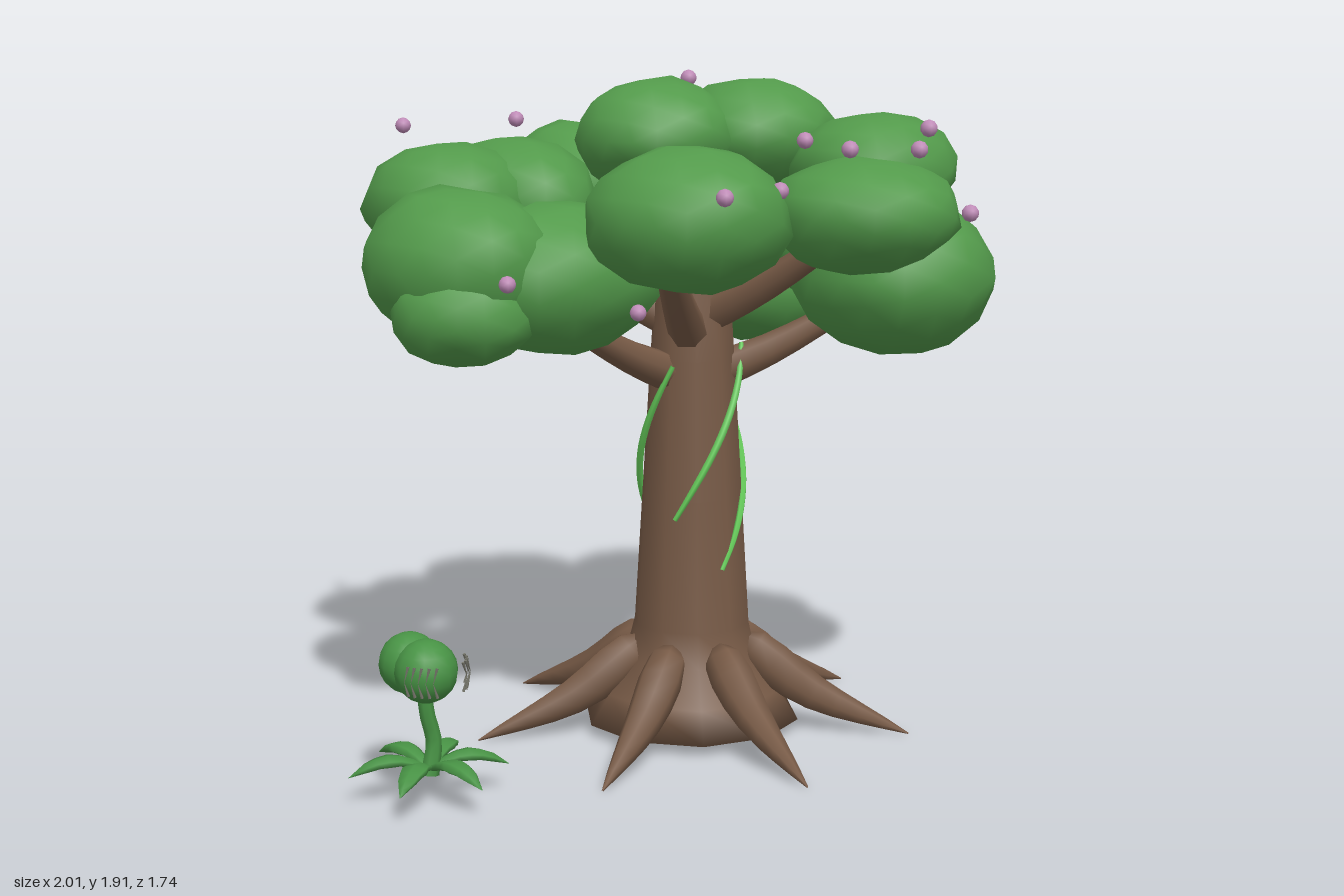
import * as THREE from 'three';
import { mergeVertices } from 'three/addons/utils/BufferGeometryUtils.js';

const mat = (name, color) => {
  const m = new THREE.MeshStandardMaterial({ color });
  m.name = name;
  return m;
};
const V = (x, y, z) => new THREE.Vector3(x, y, z);

// Weld the vertices and recompute smooth normals
function smooth(geo) {
  geo.deleteAttribute('uv');
  geo.deleteAttribute('normal');
  const g = mergeVertices(geo, 1e-5);
  g.computeVertexNormals();
  return g;
}

// Tube along a curve whose radius follows a list of values
function taper(points, radii, segments = 8, sides = 7, flat = 1) {
  const curve = new THREE.CatmullRomCurve3(points);
  const geo = new THREE.TubeGeometry(curve, segments, 1, sides, false);
  const pos = geo.attributes.position, v = V(0, 0, 0);
  for (let i = 0; i < pos.count; i++) {
    const t = Math.floor(i / (sides + 1)) / segments;
    const f = t * (radii.length - 1), k = Math.min(Math.floor(f), radii.length - 2);
    const r = THREE.MathUtils.lerp(radii[k], radii[k + 1], f - k);
    const c = curve.getPointAt(t);
    v.fromBufferAttribute(pos, i).sub(c).multiplyScalar(r);
    pos.setXYZ(i, c.x + v.x, c.y + v.y * flat, c.z + v.z);
  }
  return smooth(geo);
}

// Lumpy squashed ball for a leaf cluster, with slightly uneven corners
function lump(rx, ry, rz, seed) {
  const geo = new THREE.IcosahedronGeometry(1, 2);
  const pos = geo.attributes.position, v = V(0, 0, 0);
  for (let i = 0; i < pos.count; i++) {
    v.fromBufferAttribute(pos, i);
    const wide = Math.sin(v.x * 3.1 + seed * 2.3) + Math.sin(v.y * 3.7 + seed * 1.7) + Math.sin(v.z * 3.3 + seed * 3.1);
    const fine = Math.sin(v.x * 11 + v.y * 8 + seed) + Math.sin(v.z * 12 - v.y * 9 + seed * 2);
    v.multiplyScalar(1.02 + 0.018 * wide + 0.026 * fine);
    pos.setXYZ(i, v.x * rx, v.y * ry, v.z * rz);
  }
  return smooth(geo);
}

export function createModel() {
  const root = new THREE.Group();
  const bark = mat('bark', 0x775a46);
  const foliage = mat('foliage green', 0x539a4b);
  const vineGreen = mat('vine green', 0x68d05c);
  const blossomPink = mat('blossom mauve', 0xc08cb8);
  const plantGreen = mat('plant green', 0x489345);
  const toothGrey = mat('tooth grey', 0x77776c);

  const add = (name, geo, material, parent = root, x = 0, y = 0, z = 0) => {
    const m = new THREE.Mesh(geo, material);
    m.name = name;
    m.position.set(x, y, z);
    parent.add(m);
    return m;
  };
  const group = (name) => {
    const g = new THREE.Group();
    g.name = name;
    root.add(g);
    return g;
  };
  const CX = 0.135, CZ = 0.012;

  // Trunk with flared foot
  const profile = [[0, 0.025], [0.18, 0.028], [0.318, 0.035], [0.26, 0.12], [0.195, 0.22], [0.17, 0.32], [0.147, 0.7],
    [0.123, 1.1], [0.105, 1.38], [0.07, 1.5], [0, 1.52]].map(([r, y]) => new THREE.Vector2(r, y));
  add('trunk', new THREE.LatheGeometry(profile, 10), bark, root, CX, 0, CZ);

  // Seven evenly spread roots with their tips on the ground
  const roots = group('roots');
  for (let i = 0; i < 7; i++) {
    const a = i * Math.PI * 2 / 7;
    const at = (r, y) => V(CX + Math.cos(a) * r, y, CZ + Math.sin(a) * r);
    add('root', taper([at(0.125, 0.292), at(0.22, 0.212), at(0.35, 0.12), at(0.64, 0.006)],
      [0, 0.056, 0.064, 0.06, 0.052, 0.042, 0.03, 0.017, 0.002], 8, 7), bark, roots);
  }

  // Branches: start height, then end point inside the leaves
  const branches = group('branches');
  [[1.03, -0.3, 1.23, 0], [1.14, -0.24, 1.43, 0.32], [1.03, 0.47, 1.23, 0.28], [1.06, 0.5, 1.3, -0.24],
    [1.18, -0.12, 1.42, -0.38], [1.22, 0.25, 1.48, -0.45], [1.2, 0.24, 1.46, 0.47], [1.3, 0.08, 1.62, 0.05],
    [1.3, 0.24, 1.62, 0.08]]
    .forEach(([y0, x, y, z]) => {
      const a = V(CX, y0, CZ), b = V(x, y, z);
      const mid = a.clone().lerp(b, 0.5);
      mid.y -= 0.015;
      add('branch', taper([a, mid, b], [0.062, 0.055, 0.047, 0.04, 0.033], 6, 7), bark, branches);
    });

  // Leaf clusters: centre, then radii
  const crown = group('crown');
  [[0.21, 1.55, -0.58, 0.235, 0.2, 0.26], [0.36, 1.46, -0.63, 0.21, 0.165, 0.23],
    [-0.14, 1.52, -0.48, 0.22, 0.19, 0.3], [-0.34, 1.52, -0.49, 0.25, 0.19, 0.24],
    [0.71, 1.42, -0.35, 0.27, 0.22, 0.28], [0.59, 1.27, -0.2, 0.27, 0.175, 0.26],
    [-0.58, 1.4, -0.11, 0.255, 0.21, 0.27], [-0.36, 1.36, 0, 0.29, 0.21, 0.24],
    [-0.62, 1.29, -0.04, 0.21, 0.145, 0.19], [-0.2, 1.41, -0.06, 0.19, 0.14, 0.2],
    [-0.02, 1.725, 0.04, 0.225, 0.165, 0.22], [0.25, 1.735, 0.13, 0.23, 0.155, 0.24],
    [0.25, 1.59, -0.1, 0.2, 0.17, 0.19], [-0.265, 1.54, 0.42, 0.265, 0.185, 0.27],
    [0.24, 1.535, 0.58, 0.255, 0.155, 0.26], [0.37, 1.65, 0.48, 0.22, 0.155, 0.22],
    [0.54, 1.345, 0.42, 0.285, 0.225, 0.28], [0.63, 1.37, 0.2, 0.23, 0.16, 0.25],
    [0.73, 1.375, 0.28, 0.15, 0.12, 0.16]]
    .forEach(([x, y, z, rx, ry, rz], i) =>
      add('leafCluster', lump(rx, ry, rz, i + 1), foliage, crown, x, y, z));

  // Blossoms hovering on the crown
  const blossoms = group('blossoms');
  const bud = new THREE.IcosahedronGeometry(0.023, 1);
  [[-0.38, 1.75, -0.67], [0.11, 1.89, 0.02], [-0.65, 1.38, 0.17], [-0.36, 1.615, 0.67], [-0.14, 1.62, 0.64],
    [-0.16, 1.77, -0.42], [0.39, 1.68, -0.61], [0.47, 1.6, -0.44], [0.56, 1.48, -0.07], [0.87, 1.29, -0.04],
    [0.77, 1.5, 0.31], [0.15, 1.73, 0.44], [0.05, 1.72, 0.7], [0.18, 1.72, 0.82], [0.26, 1.77, 0.78],
    [0.35, 1.55, 0.85], [-0.26, 1.28, 0.23], [-0.04, 1.59, 0.51]]
    .forEach(([x, y, z]) => add('blossom', bud, blossomPink, blossoms, x, y, z));

  // Vines winding up the trunk: start angle, start height
  const vines = group('vines');
  [[-0.15, 0.5], [-1.05, 0.65], [1.55, 0.58], [3.3, 0.6]].forEach(([a0, y0]) => {
    const pts = [];
    for (let i = 0; i <= 6; i++) {
      const t = i / 6, a = a0 + 1.85 * t, r = 0.157 - 0.017 * t;
      pts.push(V(CX + Math.sin(a) * r, y0 + 0.49 * t, CZ + Math.cos(a) * r));
    }
    add('vine', taper(pts, [0.007, 0.01, 0.011, 0.01, 0.007], 18, 5), vineGreen, vines);
  });

  // Small plant beside the tree: stem, leaves and a two-part head
  const plant = group('smallPlant');
  const px = -0.815, pz = 0.02;
  add('plantStem', taper([V(px, 0.07, pz), V(px + 0.015, 0.16, pz), V(px - 0.005, 0.24, pz), V(-0.83, 0.33, pz)],
    [0.026, 0.022, 0.021, 0.02]), plantGreen, plant);
  for (let i = 0; i < 6; i++) {
    const a = 1.5 + i * Math.PI / 3;
    const at = (r, y) => V(px + Math.cos(a) * r, y, pz + Math.sin(a) * r);
    add('plantLeaf', taper([at(0, 0.085), at(0.08, 0.115), at(0.14, 0.112), at(0.215, 0.08)],
      [0.012, 0.026, 0.038, 0.026, 0.001], 8, 6, 0.4), plantGreen, plant);
  }
  add('plantHeadFront', new THREE.SphereGeometry(0.085, 14, 10), plantGreen, plant, -0.83, 0.362, 0.035);
  add('plantHeadBack', new THREE.SphereGeometry(0.083, 14, 10), plantGreen, plant, -0.83, 0.368, -0.04);

  // Tiny teeth on both sides of the head
  const tooth = new THREE.ConeGeometry(0.005, 0.045, 4);
  for (const s of [-1, 1]) {
    for (let i = 0; i < 5; i++) {
      const a = 0.5 + i * 0.2;
      for (const up of [-1, 1]) {
        const m = add('tooth', tooth, toothGrey, plant, -0.83 + s * Math.sin(a) * 0.1, 0.362 + up * 0.018, 0.055 + Math.cos(a) * 0.1);
        m.rotation.z = up > 0 ? Math.PI + 0.3 * s : -0.3 * s;
      }
    }
  }
  return root;
}
